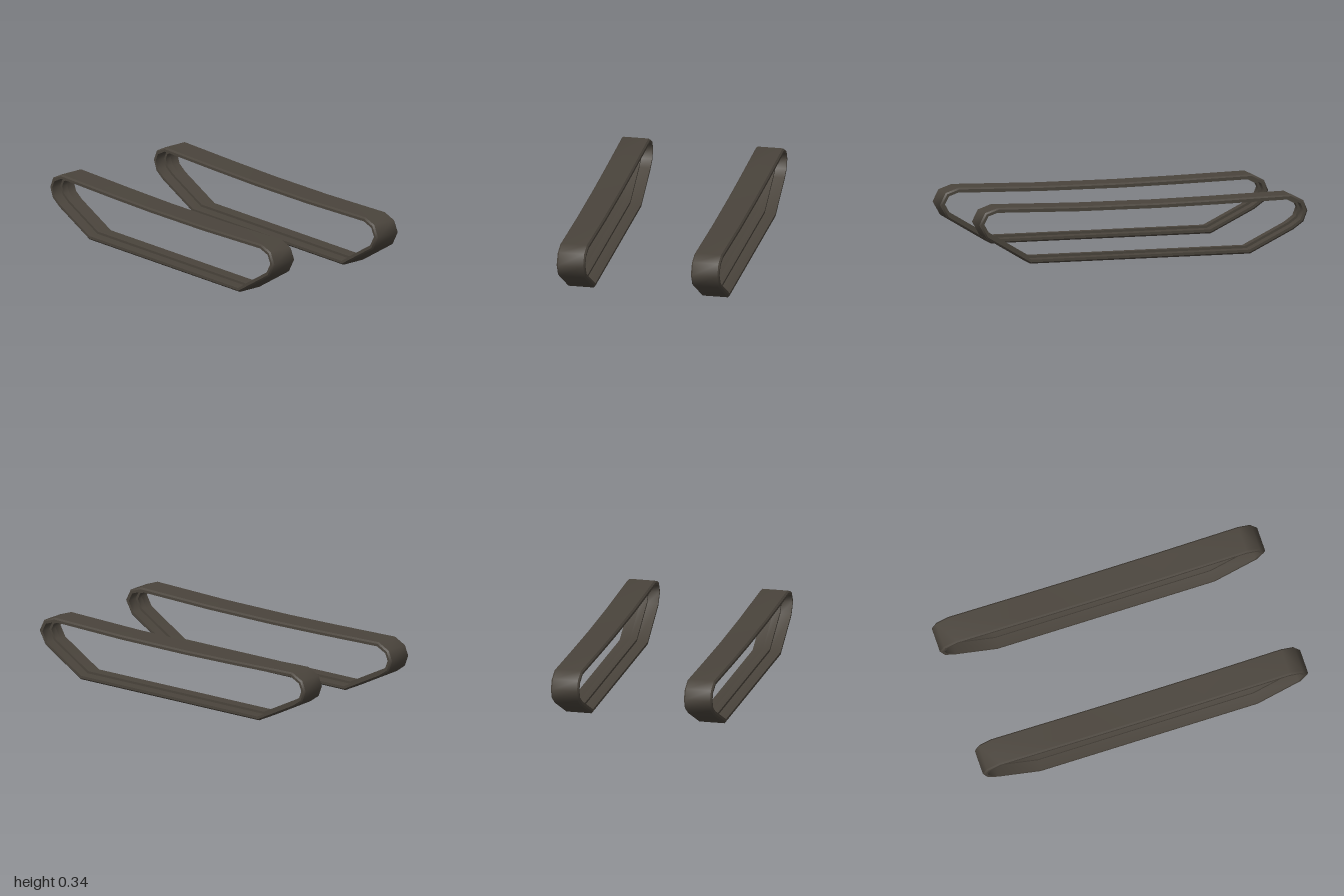
import * as THREE from 'three';

// Side outline of the belt as [z, y], running front -> top -> back -> bottom
const PATH = [
  [1, 0.24], [0.965, 0.31], [0.885, 0.338], [0.375, 0.325], [-0.1, 0.323], [-0.45, 0.328],
  [-0.9, 0.338], [-0.975, 0.3], [-1, 0.24], [-0.975, 0.175], [-0.915, 0.132],
  [-0.65, 0], [0.69, 0], [0.955, 0.16],
];

// Belt cross-section as [x, depth inward]: chamfered outside, guide ridge inside
const SECTION = [
  [-0.075, 0], [0.075, 0], [0.084, 0.009], [0.084, 0.024], [0.02, 0.024],
  [0.02, 0.038], [-0.02, 0.038], [-0.02, 0.024], [-0.084, 0.024], [-0.084, 0.009],
];

// Mitred inward direction at each path point
function inwardDirections(path) {
  const n = path.length;
  const normal = (a, b) => new THREE.Vector2(a[1] - b[1], b[0] - a[0]).normalize();
  return path.map((p, i) => {
    const before = normal(path[(i + n - 1) % n], p);
    const after = normal(p, path[(i + 1) % n]);
    return before.clone().add(after).divideScalar(1 + before.dot(after));
  });
}

// Sweep the section round the loop; each section edge is its own strip,
// so edges stay sharp across the belt and smooth along it
function beltGeometry() {
  const inward = inwardDirections(PATH);
  const n = PATH.length;
  const positions = [];
  const indices = [];
  SECTION.forEach((a, j) => {
    const b = SECTION[(j + 1) % SECTION.length];
    const base = positions.length / 3;
    PATH.forEach(([z, y], i) => {
      for (const [x, d] of [a, b]) {
        positions.push(x, y + inward[i].y * d, z + inward[i].x * d);
      }
      const p = base + i * 2;
      const q = base + ((i + 1) % n) * 2;
      indices.push(p, p + 1, q + 1, p, q + 1, q);
    });
  });
  const geometry = new THREE.BufferGeometry();
  geometry.setAttribute('position', new THREE.Float32BufferAttribute(positions, 3));
  geometry.setIndex(indices);
  geometry.computeVertexNormals();
  return geometry;
}

export function createModel() {
  const model = new THREE.Group();
  model.name = 'trackPair';
  const rubber = new THREE.MeshStandardMaterial({ color: 0x4a443c });
  rubber.name = 'darkRubber';
  const geometry = beltGeometry();

  // One belt on each side
  for (const [name, x] of [['leftTrack', 0.4], ['rightTrack', -0.4]]) {
    const track = new THREE.Mesh(geometry, rubber);
    track.name = name;
    track.position.x = x;
    model.add(track);
  }
  return model;
}
